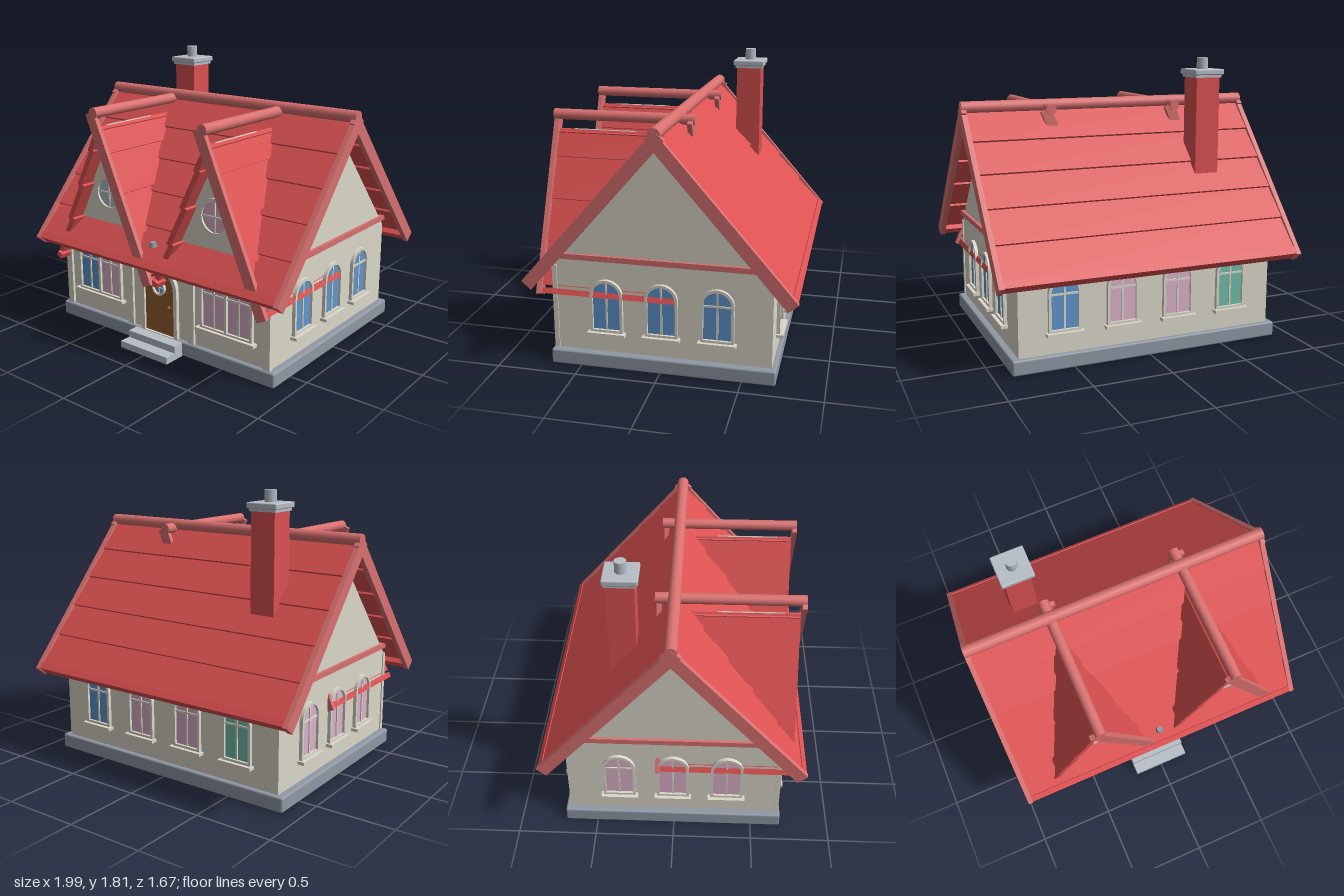
import * as THREE from 'three';
import { RoundedBoxGeometry } from 'three/addons/geometries/RoundedBoxGeometry.js';

const mat = (name, color) => {
  const m = new THREE.MeshStandardMaterial({ color });
  m.name = name;
  return m;
};
const M = {
  roof: mat('roof red', 0xdc5151),
  trim: mat('trim rose', 0xd97170),
  wall: mat('wall cream', 0xdcd8ca),
  stone: mat('base stone', 0x9099a5),
  pale: mat('pale stone', 0xb7bec6),
  blue: mat('blue glass', 0x5e98d0),
  pink: mat('pink glass', 0xddb3cc),
  green: mat('green glass', 0x72c0ae),
  mist: mat('misty glass', 0xb4c0cc),
  wood: mat('door wood', 0x945e2f),
};

function add(parent, name, geo, material, x = 0, y = 0, z = 0) {
  const m = new THREE.Mesh(geo, material);
  m.name = name;
  m.position.set(x, y, z);
  parent.add(m);
  return m;
}
const box = (parent, name, material, w, h, d, x, y, z) =>
  add(parent, name, new THREE.BoxGeometry(w, h, d), material, x, y, z);

function group(parent, name, x = 0, y = 0, z = 0, turn = 0) {
  const g = new THREE.Group();
  g.name = name;
  g.position.set(x, y, z);
  g.rotation.y = turn;
  parent.add(g);
  return g;
}

const extrude = (shape, depth) =>
  new THREE.ExtrudeGeometry(shape, { depth, bevelEnabled: false, curveSegments: 16 });

// Round-topped outline standing on y = y0, total top at y = h
function arch(w, h, y0 = 0, Type = THREE.Shape) {
  const s = new Type(), r = w / 2;
  s.moveTo(-r, y0);
  s.lineTo(r, y0);
  s.lineTo(r, h - r);
  s.absarc(0, h - r, r, 0, Math.PI, false);
  s.closePath();
  return s;
}

function polygon(points) {
  return new THREE.Shape(points.map(([x, y]) => new THREE.Vector2(x, y)));
}

// Arched window facing +z, origin at the foot of the glass on the wall
function archWindow(parent, glass, x, y, z, turn, sill = true) {
  const g = group(parent, 'archedWindow', x, y, z, turn);
  const frame = arch(0.205, 0.325, -0.018);
  frame.holes.push(arch(0.17, 0.307, 0, THREE.Path));
  add(g, 'windowFrame', extrude(frame, 0.022), M.wall);
  add(g, 'windowGlass', extrude(arch(0.172, 0.308), 0.006), glass);
  box(g, 'verticalBar', M.wall, 0.012, 0.305, 0.008, 0, 0.153, 0.009);
  box(g, 'crossBar', M.wall, 0.17, 0.012, 0.008, 0, 0.215, 0.009);
  if (sill) box(g, 'windowSill', M.wall, 0.235, 0.02, 0.045, 0, -0.025, 0.0225);
}

// Round window facing +z
function roundWindow(parent, glass, r, rim, x, y, z) {
  const g = group(parent, 'roundWindow', x, y, z);
  const ring = new THREE.Shape().absarc(0, 0, r + rim, 0, Math.PI * 2, false);
  ring.holes.push(new THREE.Path().absarc(0, 0, r, 0, Math.PI * 2, true));
  add(g, 'roundFrame', extrude(ring, 0.018), M.wall);
  add(g, 'roundGlass', new THREE.CircleGeometry(r * 1.01, 32), glass, 0, 0, 0.005);
  box(g, 'verticalBar', M.wall, r * 0.13, r * 2, 0.006, 0, 0, 0.009);
  box(g, 'crossBar', M.wall, r * 2, r * 0.13, 0.006, 0, 0, 0.009);
}

// Lapped boards: local z runs down the slope, local y is the outward normal.
// The first board is cut at "start" so that opposite slopes meet at the ridge.
function lappedSlope(parent, name, o) {
  const g = group(parent, name, 0, o.y, o.z);
  g.rotation.set(o.slope, o.turn, 0, 'YXZ');
  for (let i = 0; i < o.rows; i++) {
    const low = o.first + i * o.pitch;
    const high = i ? low - o.pitch * 1.08 : o.start;
    const b = box(g, 'roofBoard', M.roof, o.width, o.thick, low - high, 0, o.lift, (low + high) / 2);
    b.rotation.x = -0.065;
  }
  return g;
}

function ridge(parent, r, length, x, y, z, alongX) {
  const geo = new THREE.CylinderGeometry(r, r, length, 16);
  if (alongX) geo.rotateZ(Math.PI / 2); else geo.rotateX(Math.PI / 2);
  add(parent, 'ridgeCap', geo, M.trim, x, y, z);
}

function dormer(parent, x, glass) {
  const g = group(parent, 'dormer', x);
  add(g, 'dormerGable', extrude(polygon([[-0.3, 0.68], [0.3, 0.68], [0, 1.4]]), 0.4), M.wall, 0, 0, 0.25);
  roundWindow(g, glass, 0.095, 0.022, 0, 0.95, 0.65);
  // Each slope carries one barge board: the left one ends up at the back
  for (const s of [-1, 1]) {
    const slope = lappedSlope(g, 'dormerRoof', {
      y: 1.5, z: 0.33, slope: 1.161, turn: s * Math.PI / 2,
      rows: 4, first: 0.278, pitch: 0.267, start: 0.1, width: 0.83, thick: 0.036, lift: -0.046,
    });
    box(slope, 'dormerBargeBoard', M.trim, 0.03, 0.07, 1.135, -0.43, -0.035, 0.5675);
    box(slope, 'dormerEaveBoard', M.roof, 0.85, 0.045, 0.035, 0, -0.042, 1.112);
  }
  ridge(g, 0.034, 0.9, 0, 1.488, 0.325, false);
}

export function createModel() {
  const house = new THREE.Group();
  house.name = 'cottage';
  const body = group(house, 'houseBody', 0, 0, -0.008);

  // Base and entrance steps
  add(body, 'base', new RoundedBoxGeometry(1.78, 0.095, 1.396, 2, 0.012), M.stone, 0, 0.0475, 0);
  box(house, 'lowerStep', M.pale, 0.39, 0.045, 0.16, 0, 0.0225, 0.757);
  box(house, 'upperStep', M.pale, 0.39, 0.09, 0.09, 0, 0.0455, 0.717);

  // Walls with their gables, one solid running along x
  const walls = extrude(polygon([[-0.67, 0.09], [0.67, 0.09], [0.67, 0.65], [0, 1.43], [-0.67, 0.65]]), 1.69);
  walls.translate(0, 0, -0.845).rotateY(Math.PI / 2);
  add(body, 'walls', walls, M.wall);
  for (const s of [-1, 1]) {
    box(body, 'gableBand', M.trim, 0.03, 0.034, 1.32, s * 0.85, 0.707, 0);
    for (const x of [0.827, 0.255]) box(body, 'pilaster', M.wall, 0.05, 0.55, 0.03, s * x, 0.37, 0.672);
  }

  // Main roof: front and back slopes
  for (const turn of [0, Math.PI]) {
    const slope = lappedSlope(body, 'mainRoof', {
      y: 1.53, z: 0, slope: 0.855, turn,
      rows: 5, first: 0.274, pitch: 0.236, start: 0.03, width: 1.93, thick: 0.026, lift: -0.028,
    });
    for (const s of [-1, 1]) box(slope, 'bargeBoard', M.trim, 0.032, 0.078, 1.26, s * 0.977, -0.039, 0.63);
    box(slope, 'eaveBoard', M.roof, 1.98, 0.07, 0.045, 0, -0.036, 1.232);
  }
  ridge(body, 0.038, 1.98, 0, 1.51, 0, true);
  add(house, 'roofVent', new THREE.CylinderGeometry(0.02, 0.026, 0.03, 8), M.stone, 0, 0.71, 0.725);

  // Dormers
  dormer(house, -0.435, M.mist);
  dormer(house, 0.435, M.pink);

  // Chimney
  box(body, 'chimney', M.roof, 0.165, 0.79, 0.165, -0.535, 1.295, -0.303);
  box(body, 'chimneyCollar', M.pale, 0.185, 0.02, 0.185, -0.535, 1.692, -0.303);
  add(body, 'chimneyCap', new RoundedBoxGeometry(0.21, 0.036, 0.21, 2, 0.008), M.pale, -0.535, 1.717, -0.303);
  add(body, 'chimneyPot', new THREE.CylinderGeometry(0.036, 0.036, 0.075, 12), M.pale, -0.535, 1.77, -0.303);

  // Side and back windows
  for (const z of [-0.34, 0.002, 0.344]) {
    archWindow(body, M.blue, 0.845, 0.247, z, Math.PI / 2);
    archWindow(body, M.pink, -0.845, 0.247, z, -Math.PI / 2);
  }
  [M.blue, M.pink, M.pink, M.green].forEach((glass, i) =>
    archWindow(body, glass, 0.56 - i * 0.3733, 0.247, -0.67, Math.PI));

  // Paired front windows
  for (const s of [-1, 1]) {
    archWindow(body, s < 0 ? M.blue : M.pink, s * 0.53 - 0.094, 0.25, 0.67, 0, false);
    archWindow(body, M.pink, s * 0.53 + 0.094, 0.25, 0.67, 0, false);
    box(body, 'frontSill', M.wall, 0.44, 0.02, 0.045, s * 0.53, 0.228, 0.69);
  }

  // Door with arched surround, porthole and knob
  const surround = arch(0.3, 0.465);
  surround.holes.push(arch(0.245, 0.435, 0.001, THREE.Path));
  add(body, 'doorSurround', extrude(surround, 0.03), M.wall, 0, 0.095, 0.665);
  add(body, 'door', extrude(arch(0.247, 0.436), 0.015), M.wood, 0, 0.095, 0.665);
  roundWindow(body, M.blue, 0.04, 0.012, 0, 0.41, 0.68);
  add(body, 'doorKnob', new THREE.SphereGeometry(0.013, 12, 8), M.wood, 0.08, 0.29, 0.688);

  return house;
}
